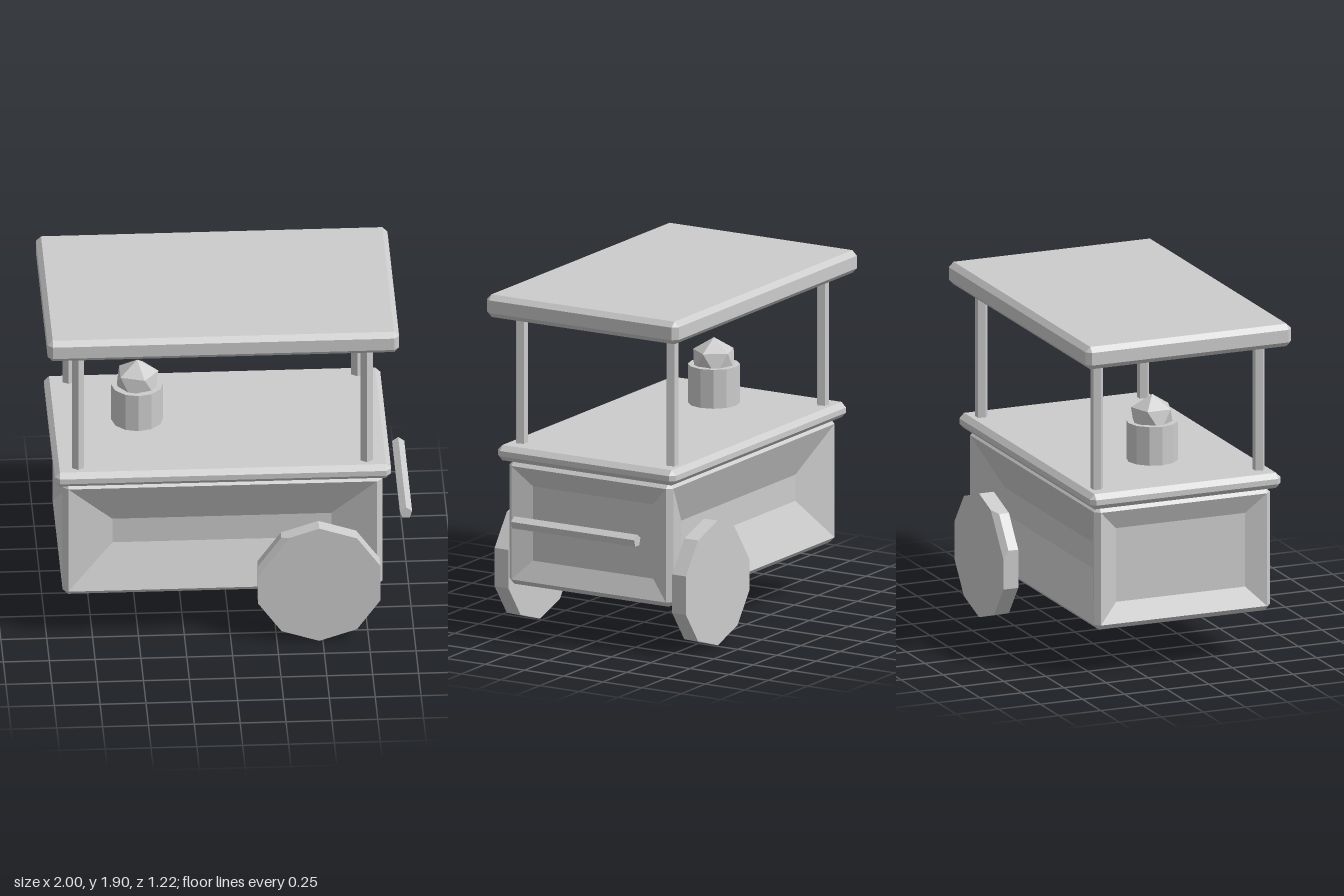
import * as THREE from 'three';
import { ConvexGeometry } from 'three/addons/geometries/ConvexGeometry.js';

// Box with chamfered edges; recess[axis] = { inset, depth } sinks a sloped panel into both faces of that axis.
function chamferedBox(size, chamfer, recess = {}) {
  const half = size.map(v => v / 2);
  const positions = [];
  const face = (pts, outward) => {
    const n = pts[1].clone().sub(pts[0]).cross(pts[2].clone().sub(pts[0]));
    if (n.dot(outward) < 0) pts.reverse();
    for (let i = 1; i < pts.length - 1; i++) {
      for (const p of [pts[0], pts[i], pts[i + 1]]) positions.push(p.x, p.y, p.z);
    }
  };
  // Corner of the face on the given axis, pulled in from its edges and sunk by depth
  const corner = (axis, signs, inset = 0, depth = 0) => new THREE.Vector3(
    ...signs.map((s, i) => s * (half[i] - (i === axis ? depth : chamfer + inset))));
  const signsOf = (a, sa, b, sb, c, sc) => {
    const s = [0, 0, 0];
    s[a] = sa; s[b] = sb; s[c] = sc;
    return s;
  };

  for (let a = 0; a < 3; a++) {
    const b = (a + 1) % 3, c = (a + 2) % 3;
    for (const sa of [-1, 1]) {
      // Main faces, flat or recessed
      const ring = [[-1, -1], [1, -1], [1, 1], [-1, 1]].map(([u, v]) => signsOf(a, sa, b, u, c, v));
      const out = new THREE.Vector3(...signsOf(a, sa, b, 0, c, 0));
      const { inset, depth } = recess[a] ?? { inset: 0, depth: 0 };
      face(ring.map(s => corner(a, s, inset, depth)), out);
      if (depth) {
        ring.forEach((s, i) => {
          const t = ring[(i + 1) % 4];
          face([corner(a, s), corner(a, t), corner(a, t, inset, depth), corner(a, s, inset, depth)], out);
        });
      }
      // Edge chamfers
      for (const sb of [-1, 1]) {
        const s0 = signsOf(a, sa, b, sb, c, -1), s1 = signsOf(a, sa, b, sb, c, 1);
        face([corner(a, s0), corner(a, s1), corner(b, s1), corner(b, s0)],
          new THREE.Vector3(...signsOf(a, sa, b, sb, c, 0)));
      }
    }
  }
  // Corner triangles
  for (const x of [-1, 1]) for (const y of [-1, 1]) for (const z of [-1, 1]) {
    face([0, 1, 2].map(a => corner(a, [x, y, z])), new THREE.Vector3(x, y, z));
  }
  const geometry = new THREE.BufferGeometry();
  geometry.setAttribute('position', new THREE.Float32BufferAttribute(positions, 3));
  geometry.computeVertexNormals();
  return geometry;
}

// Ten-sided wheel disc with one chamfered rim edge on its outer side
function wheelGeometry(radius, inner, outer, side) {
  const rim = Array.from({ length: 10 }, (_, i) => {
    const t = Math.PI / 2 + i * Math.PI / 5;
    return new THREE.Vector2(Math.cos(t) * radius, Math.sin(t) * radius);
  });
  const points = [];
  const add = (p, z) => points.push(new THREE.Vector3(p.x, p.y, z * side));
  rim.forEach((p, i) => {
    add(p, inner);
    if (i === 1 || i === 2) {
      add(p, outer - 0.03);
      add(p.clone().lerp(rim[i === 1 ? 0 : 3], 0.22), outer);
    } else {
      add(p, outer);
    }
  });
  return new ConvexGeometry(points);
}

export function createModel() {
  const group = new THREE.Group();
  const grey = new THREE.MeshStandardMaterial({ color: 0xcccccc, flatShading: true });
  grey.name = 'plainGrey';
  const centreX = -0.0415;

  const add = (name, geometry, x, y, z) => {
    const mesh = new THREE.Mesh(geometry, grey);
    mesh.name = name;
    mesh.position.set(x, y, z);
    group.add(mesh);
    return mesh;
  };

  // Cart body with sunken panels, counter and roof
  add('cartBody', chamferedBox([1.744, 0.697, 1.046], 0.03, {
    0: { inset: 0.11, depth: 0.047 },
    2: { inset: 0.245, depth: 0.1 },
  }), centreX, 0.6185, 0);
  add('counter', chamferedBox([1.834, 0.086, 1.134], 0.028), centreX, 1.01, 0);
  add('roof', chamferedBox([1.917, 0.127, 1.222], 0.028), centreX, 1.8385, 0);

  // Roof posts
  const post = new THREE.CylinderGeometry(0.035, 0.035, 0.74, 5);
  for (const sx of [-1, 1]) for (const sz of [-1, 1]) {
    add('roofPost', post, centreX + sx * 0.787, 1.413, sz * 0.48);
  }

  // Wheels
  for (const side of [1, -1]) {
    add(side > 0 ? 'frontWheel' : 'backWheel', wheelGeometry(0.35, 0.522, 0.61, side), 0.48, 0.35, 0);
  }

  // Push handle
  const handle = add('pushHandle', new THREE.CylinderGeometry(0.035, 0.035, 0.785, 5), 0.965, 0.662, 0);
  handle.rotation.x = -Math.PI / 2;

  // Pot with a faceted ball standing point-up in it
  add('pot', new THREE.CylinderGeometry(0.142, 0.142, 0.218, 12), -0.48, 1.185, 0);
  const ball = new THREE.IcosahedronGeometry(0.13, 0);
  ball.rotateZ(-Math.atan(2 / (1 + Math.sqrt(5))));
  add('ball', ball, -0.48, 1.313, 0);

  return group;
}
